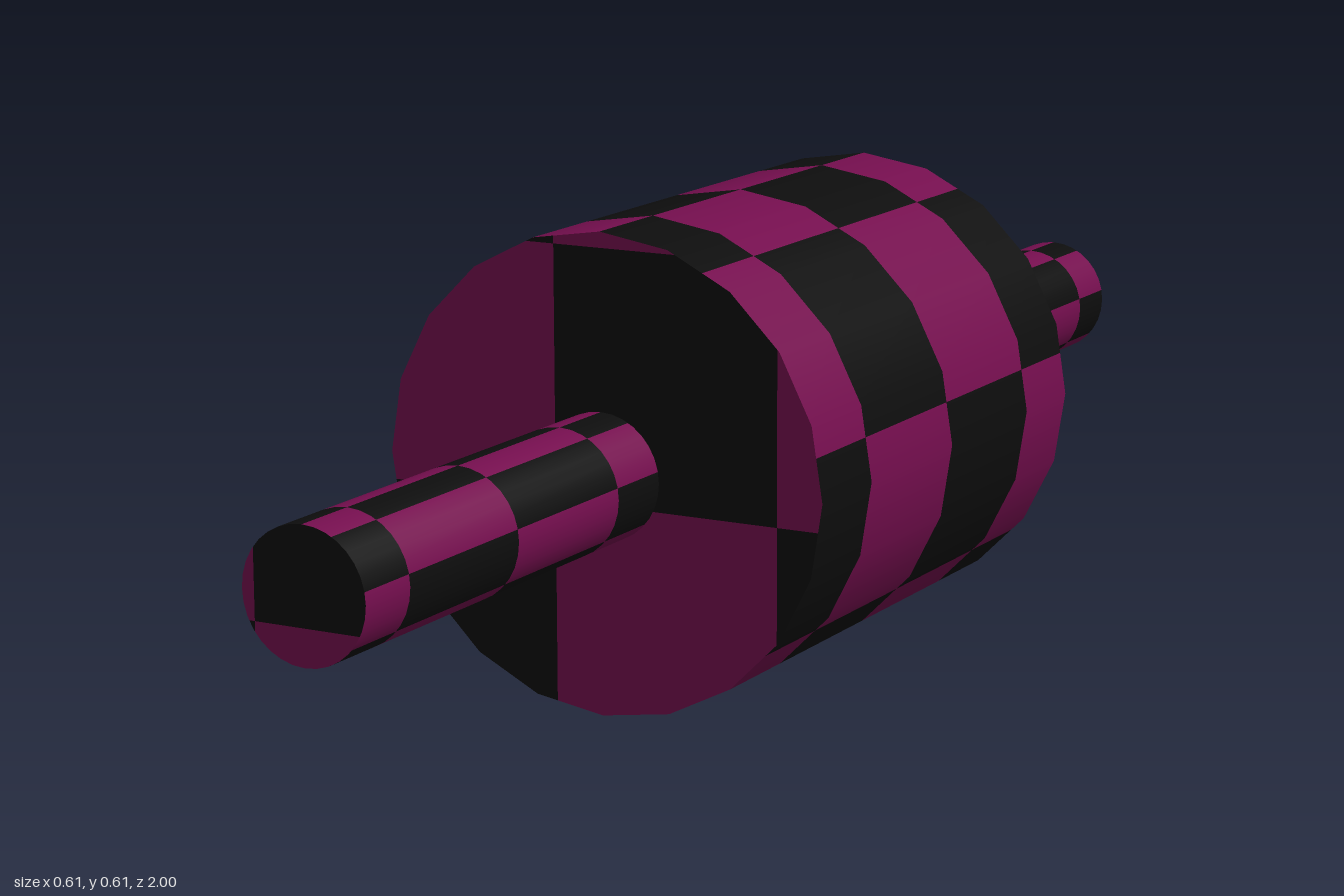
import * as THREE from 'three';

const CENTRE_Y = 0.304;
// checker grid: lines along the axis, around the axis (degrees from the top towards +x), and across the end faces
const Z_STEP = 0.2287, Z_OFFSET = -0.003;
const ANGLES = [0, 28, 79.5, 131, 182.5, 234, 285.5, 337, 360];
const CAP_X = [-0.5, -0.065, 0.243, 0.5];
const CAP_Y = [-0.5, -0.036, 0.284, 0.6];

// point on the rim of an n-sided prism, staying on its flat facets
function rim(radius, sides, deg) {
  const step = 360 / sides, i = Math.floor(deg / step + 1e-6), t = deg / step - i;
  const at = (k) => {
    const a = THREE.MathUtils.degToRad(k * step);
    return new THREE.Vector2(Math.sin(a) * radius, Math.cos(a) * radius);
  };
  return at(i).lerp(at(i + 1), t);
}

// keep the part of a polygon where sign * p[axis] >= sign * limit
function clip(poly, axis, limit, sign) {
  const out = [];
  poly.forEach((p, i) => {
    const q = poly[(i + 1) % poly.length];
    const dp = sign * (p[axis] - limit), dq = sign * (q[axis] - limit);
    if (dp >= 0) out.push(p);
    if (dp * dq < 0) out.push(p.clone().lerp(q, dp / (dp - dq)));
  });
  return out;
}

// collects vertices for one colour
class Patch {
  constructor() { this.pos = []; this.nor = []; }
  add(p, n) { this.pos.push(...p); this.nor.push(...n); }
  mesh(name, material) {
    const g = new THREE.BufferGeometry();
    g.setAttribute('position', new THREE.Float32BufferAttribute(this.pos, 3));
    g.setAttribute('normal', new THREE.Float32BufferAttribute(this.nor, 3));
    const m = new THREE.Mesh(g, material);
    m.name = name;
    return m;
  }
}

// curved wall between z0 and z1, split into checker cells with smooth normals
function addWall(patches, radius, sides, z0, z1) {
  const first = Math.floor((z0 - Z_OFFSET) / Z_STEP), last = Math.floor((z1 - Z_OFFSET) / Z_STEP);
  for (let r = first; r <= last; r++) {
    const a = Math.max(z0, Z_OFFSET + r * Z_STEP), b = Math.min(z1, Z_OFFSET + (r + 1) * Z_STEP);
    if (b - a < 1e-5) continue;
    for (let i = 0; i < 8; i++) {
      const cuts = [ANGLES[i], ANGLES[i + 1]];
      for (let k = 0; k <= sides; k++) {
        const d = k * 360 / sides;
        if (d > ANGLES[i] + 1e-4 && d < ANGLES[i + 1] - 1e-4) cuts.push(d);
      }
      cuts.sort((p, q) => p - q);
      const patch = patches[Math.abs(i + r + 1) % 2];
      for (let k = 0; k < cuts.length - 1; k++) {
        const p = rim(radius, sides, cuts[k]), q = rim(radius, sides, cuts[k + 1]);
        for (const [v, z] of [[p, a], [p, b], [q, b], [p, a], [q, b], [q, a]]) {
          const n = v.clone().normalize();
          patch.add([v.x, v.y, z], [n.x, n.y, 0]);
        }
      }
    }
  }
}

// flat end face split into checker cells; facing is +1 (front) or -1 (back)
function addCap(patches, radius, sides, z, facing) {
  const outline = [];
  for (let k = sides - 1; k >= 0; k--) outline.push(rim(radius, sides, k * 360 / sides));
  for (let i = 0; i < 3; i++) for (let j = 0; j < 3; j++) {
    let poly = clip(outline, 'x', CAP_X[i], 1);
    poly = clip(poly, 'x', CAP_X[i + 1], -1);
    poly = clip(poly, 'y', CAP_Y[j], 1);
    poly = clip(poly, 'y', CAP_Y[j + 1], -1);
    for (let k = 1; k < poly.length - 1; k++) {
      const tri = [poly[0], poly[k], poly[k + 1]];
      if (facing < 0) tri.reverse();
      for (const v of tri) patches[(i + j) % 2].add([v.x, v.y, z], [0, 0, facing]);
    }
  }
}

export function createModel() {
  const black = new THREE.MeshStandardMaterial({ color: 0x0d0d0d });
  black.name = 'black';
  const magenta = new THREE.MeshStandardMaterial({ color: 0x740e4e });
  magenta.name = 'dark magenta';

  const model = new THREE.Group();
  model.name = 'checkeredRoller';

  function part(name, build) {
    const patches = [new Patch(), new Patch()]; // black, magenta
    build(patches);
    const group = new THREE.Group();
    group.name = name;
    group.position.y = CENTRE_Y;
    group.add(patches[0].mesh(name + 'BlackChecks', black), patches[1].mesh(name + 'MagentaChecks', magenta));
    model.add(group);
  }

  // wide 20-sided drum
  part('drum', (p) => {
    addWall(p, 0.304, 20, -0.357, 0.357);
    addCap(p, 0.304, 20, 0.357, 1);
    addCap(p, 0.304, 20, -0.357, -1);
  });

  // thin shaft sticking out at both ends
  part('frontShaft', (p) => {
    addWall(p, 0.081, 32, 0.357, 1);
    addCap(p, 0.081, 32, 1, 1);
  });
  part('backShaft', (p) => {
    addWall(p, 0.081, 32, -1, -0.357);
    addCap(p, 0.081, 32, -1, -1);
  });

  return model;
}
